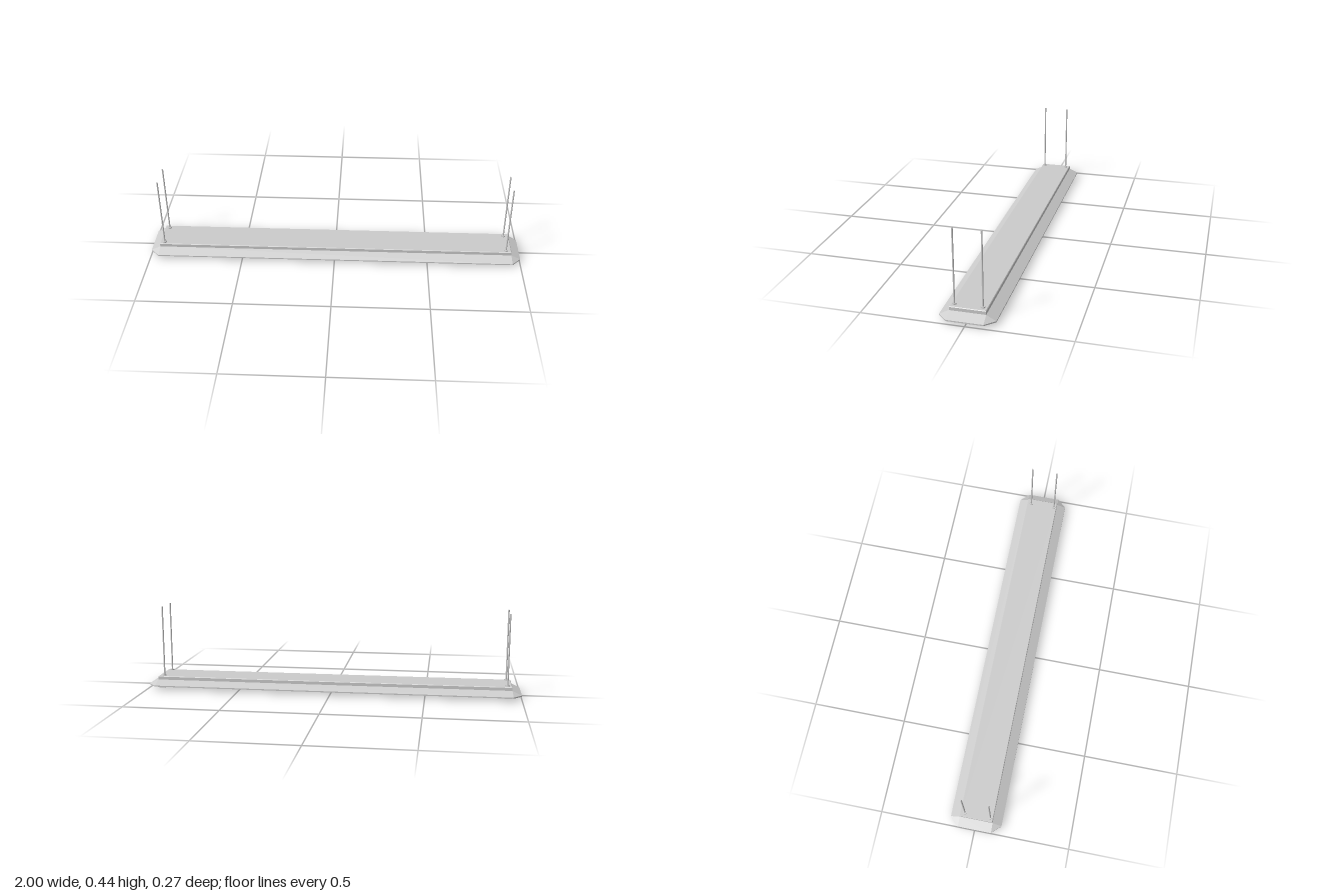
import * as THREE from 'three';

export function createModel() {
  const model = new THREE.Group();
  const smooth = new THREE.MeshStandardMaterial({ color: 0xcccccc });
  const sheet = new THREE.MeshStandardMaterial({ color: 0xcccccc, flatShading: true, side: THREE.DoubleSide });

  function add(name, geometry, material, x = 0, y = 0, z = 0) {
    const mesh = new THREE.Mesh(geometry, material);
    mesh.name = name;
    mesh.position.set(x, y, z);
    model.add(mesh);
    return mesh;
  }

  // Eight plan points of a rectangle with cut corners; the cut may be zero
  function ring(hx, hz, cutX, cutZ, y) {
    const a = hx - cutX, b = hz - cutZ;
    return [[hx, b], [a, hz], [-a, hz], [-hx, b], [-hx, -b], [-a, -hz], [a, -hz], [hx, -b]]
      .map(([x, z]) => [x, y, z]);
  }

  // Skin stacked rings, listed from top to bottom, with an optional flat top
  function loft(rings, cap) {
    const pos = [], idx = [], n = rings[0].length;
    rings.forEach(r => r.forEach(p => pos.push(...p)));
    for (let k = 0; k < rings.length - 1; k++) {
      for (let i = 0; i < n; i++) {
        const a = k * n + i, b = k * n + (i + 1) % n;
        idx.push(a, b, a + n, b, b + n, a + n);
      }
    }
    if (cap) for (let i = 1; i < n - 1; i++) idx.push(0, i + 1, i);
    const g = new THREE.BufferGeometry();
    g.setAttribute('position', new THREE.Float32BufferAttribute(pos, 3));
    g.setIndex(idx);
    const flat = g.toNonIndexed();
    flat.computeVertexNormals();
    return flat;
  }

  // Open-bottomed housing with a slightly softened top edge
  add('housing', loft([
    ring(0.948, 0.084, 0, 0, 0.066),
    ring(0.951, 0.087, 0, 0, 0.063),
    ring(0.951, 0.087, 0, 0, 0.047),
  ], true), sheet);

  // Flared skirt with cut corners and a short vertical lip
  add('reflectorSkirt', loft([
    ring(0.951, 0.087, 0, 0, 0.047),
    ring(1, 0.135, 0.045, 0.047, 0.024),
    ring(1, 0.135, 0.045, 0.047, 0.018),
  ], false), sheet);

  // Two lamp tubes
  const tube = new THREE.CylinderGeometry(0.02, 0.02, 1.82, 24).rotateZ(Math.PI / 2);
  for (const z of [-0.04, 0.04]) add('lampTube', tube, smooth, 0, 0.028, z);

  // End blocks and lamp sockets
  for (const side of [-1, 1]) {
    add('endBlock', new THREE.BoxGeometry(0.036, 0.062, 0.166), smooth, side * 0.931, 0.033, 0);
    for (const z of [-0.04, 0.04]) {
      add('lampSocket', new THREE.BoxGeometry(0.012, 0.058, 0.036), smooth, side * 0.908, 0.031, z);
    }
  }

  // Four hanging rods on round feet
  const rod = new THREE.CylinderGeometry(0.004, 0.004, 0.381, 12);
  const foot = new THREE.CylinderGeometry(0.0105, 0.0105, 0.006, 20);
  for (const x of [-0.927, 0.922]) {
    for (const z of [-0.064, 0.071]) {
      add('hangingRod', rod, smooth, x, 0.2565, z);
      add('rodFoot', foot, smooth, x, 0.069, z);
    }
  }
  // Lower faces of the end blocks rest near the ground
  model.position.y = -0.002;
  return model;
}
